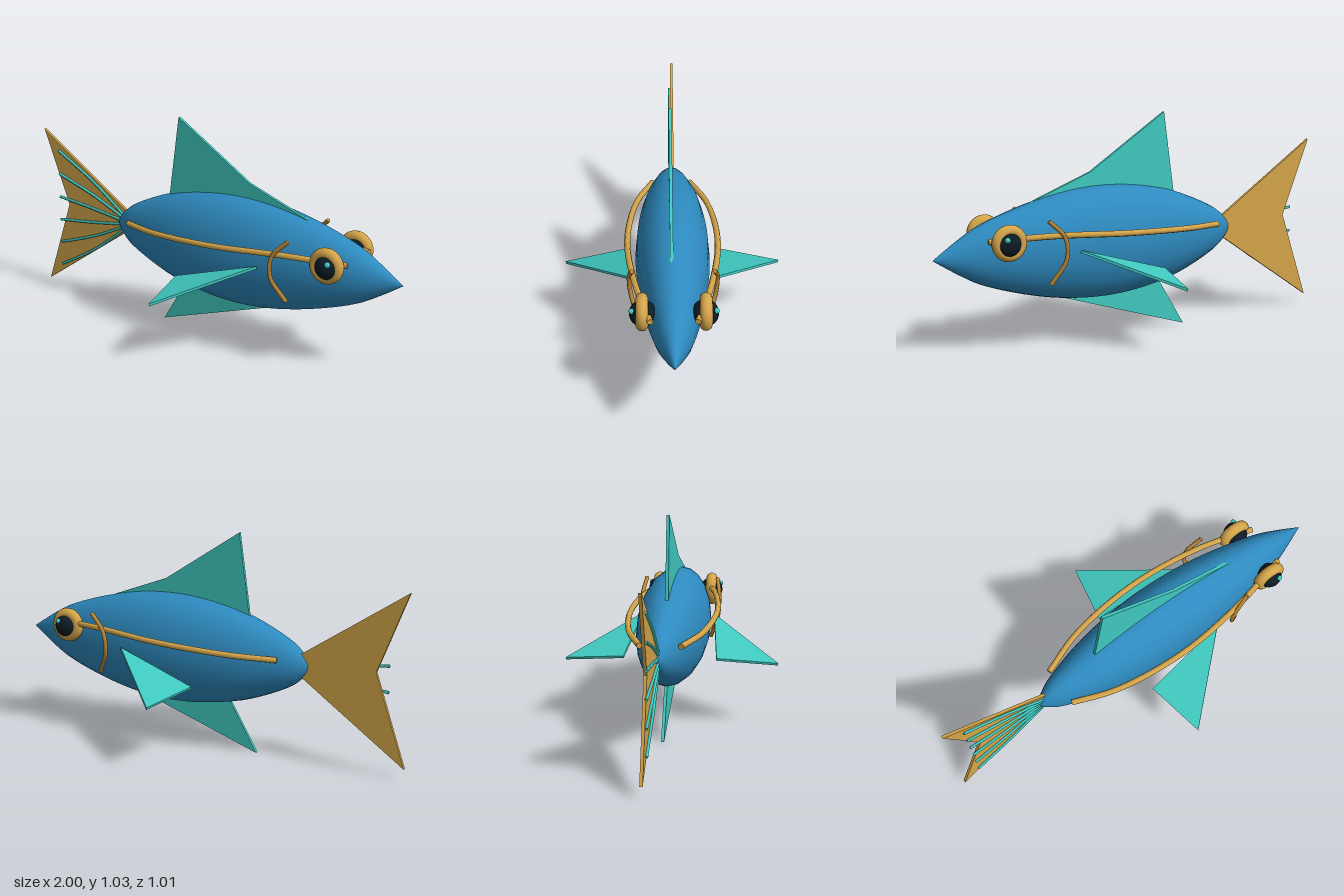
import * as THREE from 'three';
import { ConvexGeometry } from 'three/addons/geometries/ConvexGeometry.js';

const paint = (name, color) => {
  const m = new THREE.MeshStandardMaterial({ color });
  m.name = name;
  return m;
};
const V = (x, y, z) => new THREE.Vector3(x, y, z);

export function createModel() {
  const fish = new THREE.Group();
  fish.name = 'fish';
  const blue = paint('body blue', 0x2e8bc0);
  const teal = paint('fin teal', 0x40c9c0);
  const gold = paint('gold', 0xd4a54a);
  const bronze = paint('gill bronze', 0xbd8a38);
  const dark = paint('eye dark', 0x0d1b24);

  const add = (name, geometry, material) => {
    const mesh = new THREE.Mesh(geometry, material);
    mesh.name = name;
    fish.add(mesh);
    return mesh;
  };

  // Flat fin in the x-y plane, extruded from z0 by a thin depth
  const FIN = 0.014;
  const plate = (name, points, z0, material) => {
    const shape = new THREE.Shape(points.map(([x, y]) => new THREE.Vector2(x, y)));
    const g = new THREE.ExtrudeGeometry(shape, { depth: FIN, bevelEnabled: false });
    add(name, g.translate(0, 0, z0), material);
  };

  // Round bar along a smooth curve, with closed ends
  const bar = (name, points, radius, sides, material) => {
    const curve = new THREE.CatmullRomCurve3(points);
    add(name, new THREE.TubeGeometry(curve, 32, radius, sides), material);
    for (const t of [0, 1]) {
      const cap = add(name + 'End', new THREE.CircleGeometry(radius, sides), material);
      cap.position.copy(curve.getPoint(t));
      const out = curve.getTangent(t).multiplyScalar(t ? 1 : -1);
      cap.quaternion.setFromUnitVectors(V(0, 0, 1), out);
    }
  };

  // Body: spindle profile turned about x, narrowed in z
  const profile = new THREE.SplineCurve([
    [0, -0.54], [0.05, -0.505], [0.115, -0.42], [0.2, -0.22], [0.245, -0.02], [0.26, 0.17],
    [0.247, 0.36], [0.205, 0.56], [0.14, 0.76], [0.077, 0.88], [0, 1],
  ].map(([r, x]) => new THREE.Vector2(r, x))).getPoints(44);
  profile.forEach((p) => { p.x = Math.max(p.x, 0); });
  const body = new THREE.LatheGeometry(profile, 20);
  body.rotateZ(-Math.PI / 2).scale(1, 1, 0.65).translate(0, 0.45, 0);
  add('body', body, blue);

  // Upright fins
  plate('tailFin', [[-0.48, 0.5], [-1, 0.845], [-0.855, 0.475], [-1, 0.053], [-0.48, 0.41]], -FIN, gold);
  plate('dorsalFin', [[-0.22, 0.65], [0.56, 0.65], [0.225, 0.775], [-0.166, 1.027]], 0, teal);
  plate('analFin', [[-0.27, 0], [0.4, 0.217], [0.3, 0.26], [-0.12, 0.25]], -FIN, teal);

  // Tail rays fan out on one face of the tail
  for (let i = 0; i < 6; i++) {
    const k = (i - 2.5) / 2.5;
    bar('tailRay', [
      V(-0.49, 0.447 + 0.025 * k, 0.004),
      V(-0.7, 0.447 + 0.18 * k, 0.004),
      V(-0.91, 0.447 + 0.3 * k, 0.004),
    ], 0.007, 6, teal);
  }

  // Paired parts
  for (const s of [1, -1]) {
    const side = s > 0 ? 'front' : 'back';

    const tri = [V(0.37, 0.455, 0.175 * s), V(-0.04, 0.335, 0.218 * s), V(0.018, 0.305, 0.503 * s)];
    const n = new THREE.Triangle(...tri).getNormal(V(0, 0, 0)).multiplyScalar(0.006);
    const corners = tri.flatMap((p) => [p.clone().add(n), p.clone().sub(n)]);
    add(side + 'PectoralFin', new ConvexGeometry(corners), teal);

    bar(side + 'LateralLine', [
      V(-0.41, 0.486, 0.092 * s), V(-0.2, 0.5, 0.168 * s), V(0.15, 0.52, 0.206 * s),
      V(0.5, 0.537, 0.17 * s), V(0.78, 0.527, 0.1 * s),
    ], 0.014, 8, gold);

    bar(side + 'GillArc', [
      V(0.528, 0.607, 0.178 * s), V(0.457, 0.53, 0.193 * s),
      V(0.447, 0.43, 0.187 * s), V(0.505, 0.315, 0.148 * s),
    ], 0.01, 8, bronze);

    add(side + 'EyeRing', new THREE.TorusGeometry(0.055, 0.027, 14, 32), gold)
      .position.set(0.698, 0.52, 0.135 * s);
    add(side + 'Eye', new THREE.SphereGeometry(0.058, 28, 18), dark)
      .position.set(0.704, 0.517, 0.132 * s);
    add(side + 'EyeGlint', new THREE.SphereGeometry(0.013, 14, 10), teal)
      .position.set(0.725, 0.543, 0.178 * s);
  }
  return fish;
}
